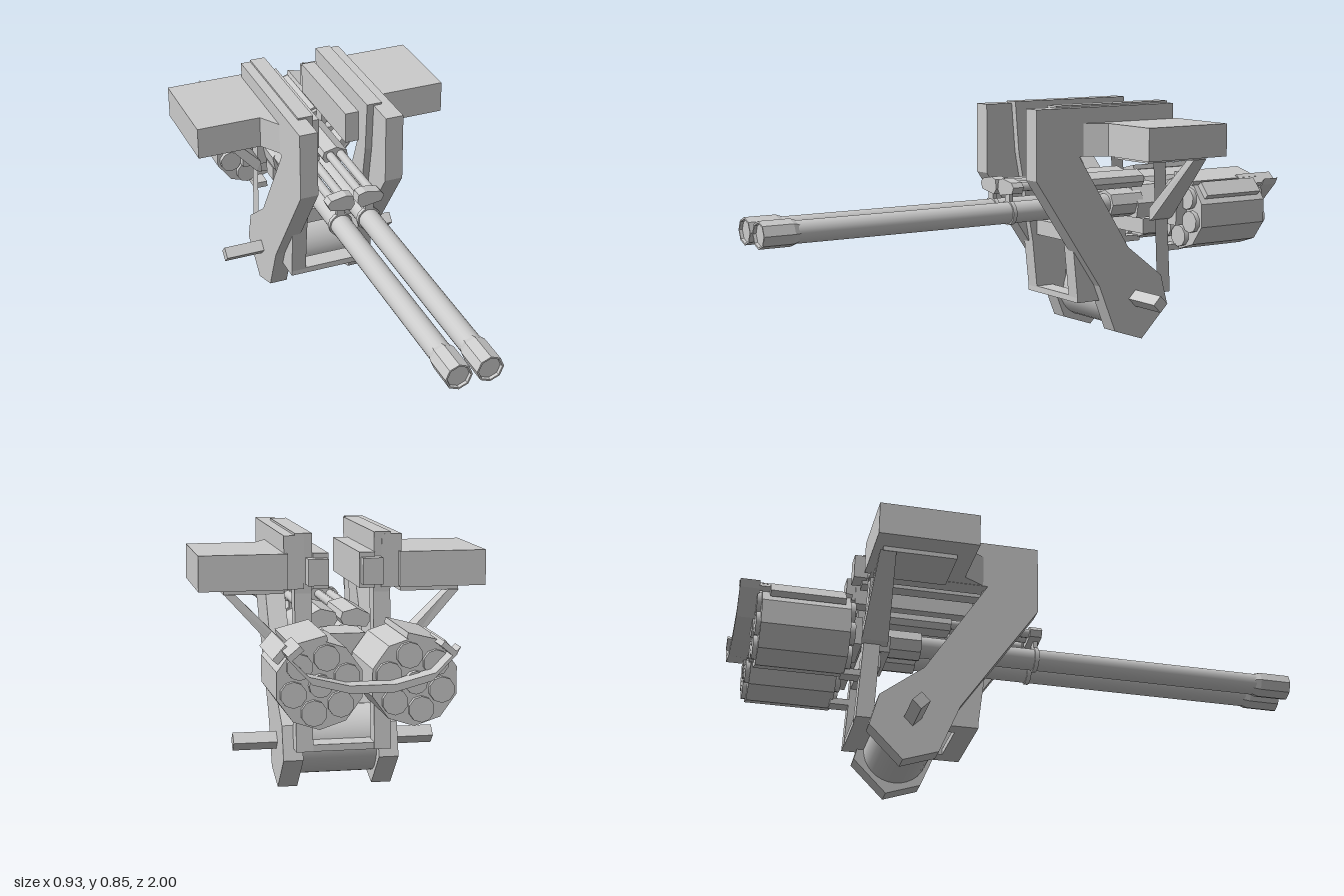
import * as THREE from 'three';

const mat = new THREE.MeshStandardMaterial({ color: 0xcccccc, flatShading: true });
const smooth = new THREE.MeshStandardMaterial({ color: 0xcccccc });

export function createModel() {
  const root = new THREE.Group();

  const add = (name, geo, material = mat) => {
    const mesh = new THREE.Mesh(geo, material);
    mesh.name = name;
    root.add(mesh);
    return mesh;
  };
  const shapeOf = (pts) => new THREE.Shape(pts.map(([a, b]) => new THREE.Vector2(a, b)));
  const extrude = (shape, depth) => new THREE.ExtrudeGeometry(shape, { depth, bevelEnabled: false });

  // Box from its limits
  const box = (name, x0, x1, y0, y1, z0, z1) => add(name,
    new THREE.BoxGeometry(Math.abs(x1 - x0), y1 - y0, z1 - z0)
      .translate((x0 + x1) / 2, (y0 + y1) / 2, (z0 + z1) / 2));
  // Profile in (z, y), given thickness between two x limits
  const sidePlate = (name, pts, x0, x1, hole) => {
    const shape = shapeOf(pts);
    if (hole) shape.holes.push(shapeOf(hole));
    return add(name, extrude(shape, Math.abs(x1 - x0)).rotateY(-Math.PI / 2)
      .translate(Math.max(x0, x1), 0, 0));
  };
  // Profile in (x, y), running between two z limits
  const frontPlate = (name, pts, z0, z1) =>
    add(name, extrude(shapeOf(pts), z1 - z0).translate(0, 0, z0));
  // Cylinder along z
  const rod = (name, x, y, r, z0, z1, sides = 20, material = smooth) => add(name,
    new THREE.CylinderGeometry(r, r, z1 - z0, sides).rotateX(Math.PI / 2)
      .translate(x, y, (z0 + z1) / 2), material);

  // Pivot drum and square axle
  add('pivotDrum', new THREE.CylinderGeometry(0.112, 0.112, 0.25, 32)
    .rotateZ(Math.PI / 2).translate(0, 0.152, -0.4), smooth);
  add('axle', new THREE.CylinderGeometry(0.03, 0.03, 0.67, 4)
    .rotateZ(Math.PI / 2).translate(0, 0.152, -0.4));

  // Cross members of the cradle and the receiver they carry
  box('frontCrossbar', -0.155, 0.155, 0.152, 0.174, -0.24, -0.17);
  box('rearCrossbar', -0.155, 0.155, 0.152, 0.174, -0.582, -0.5);
  box('cradleCrossbar', -0.1, 0.1, 0.365, 0.42, -0.27, -0.17);
  box('rearCradleCrossbar', -0.1, 0.1, 0.365, 0.42, -0.57, -0.5);
  frontPlate('receiver', [[-0.1, 0.425], [0.1, 0.425], [0.11, 0.48], [0.06, 0.54],
    [-0.06, 0.54], [-0.11, 0.48]], -0.62, -0.47);

  for (const s of [1, -1]) {
    const mx = (pts) => pts.map(([x, y]) => [x * s, y]);

    // Bent outer arm
    sidePlate('outerArm', [[0.03, 0.845], [0.03, 0.6], [-0.24, 0.21], [-0.31, 0.04],
      [-0.43, 0], [-0.545, 0.115], [-0.515, 0.225], [-0.365, 0.34], [-0.15, 0.675],
      [-0.56, 0.675], [-0.56, 0.845]], 0.125 * s, 0.19 * s);
    // Inner frame with an open window
    sidePlate('innerFrame', [[-0.075, 0.852], [-0.09, 0.67], [-0.15, 0.35], [-0.172, 0.152],
      [-0.585, 0.152], [-0.555, 0.66], [-0.56, 0.852]], 0.1 * s, 0.155 * s,
    [[-0.16, 0.675], [-0.3, 0.34], [-0.3, 0.174], [-0.525, 0.174], [-0.5, 0.675]]);

    // Overhead box with a chamfered front, plus inner rail and end block
    const plan = mx([[0.18, 0.15], [0.235, 0.24], [0.463, 0.24], [0.463, 0.58], [0.18, 0.58]]);
    add('overheadBox', extrude(shapeOf(plan), 0.114).rotateX(-Math.PI / 2)
      .translate(0, 0.676, 0).applyMatrix4(new THREE.Matrix4()));
    box('innerRail', 0.05 * s, 0.1 * s, 0.676, 0.79, -0.575, -0.15);
    box('railEndBlock', 0.055 * s, 0.12 * s, 0.69, 0.775, -0.607, -0.56);
    box('boxPad', 0.19 * s, 0.38 * s, 0.66, 0.677, -0.55, -0.3);

    // Diagonal brace, tapered at its top
    const brace = frontPlate('diagonalBrace', mx([[0.38, 0.662], [0.345, 0.662],
      [0.15, 0.465], [0.15, 0.42], [0.17, 0.43]]), -0.578, -0.488);
    const p = brace.geometry.attributes.position;
    for (let i = 0; i < p.count; i++) {
      if (p.getY(i) > 0.6) p.setZ(i, -0.533 + (p.getZ(i) + 0.533) * 0.6);
    }
    brace.geometry.computeVertexNormals();

    // Barrel, muzzle and breech
    const bx = 0.053 * s;
    rod('barrel', bx, 0.48, 0.038, -0.4, 0.88);
    add('muzzle', new THREE.LatheGeometry([[0.036, 0.86], [0.046, 0.89], [0.046, 1], [0.04, 1],
      [0.038, 0.99], [0, 0.99]].map(([r, y]) => new THREE.Vector2(r, y)), 8)
      .rotateX(Math.PI / 2).translate(bx, 0.48, 0));
    rod('breech', bx, 0.48, 0.052, -0.5, -0.36, 8, mat);

    // Recoil tubes above the barrel, with their clamp and rear housing
    const hex = mx([[0.005, 0.565], [0.015, 0.546], [0.09, 0.538], [0.103, 0.558],
      [0.1, 0.58], [0.06, 0.6], [0.012, 0.588]]);
    const clamp = mx([[0.005, 0.558], [0.02, 0.538], [0.095, 0.55], [0.105, 0.572],
      [0.092, 0.588], [0.035, 0.598], [0.01, 0.59]]);
    frontPlate('tubeClamp', clamp, 0.025, 0.068);
    frontPlate('recoilHousing', hex, -0.5, -0.258);
    for (const x of [0.035, 0.075]) rod('recoilTube', x * s, 0.57, 0.016, -0.3, 0.04, 10);
    rod('barrelCollar', bx, 0.48, 0.044, 0.045, 0.06, 12);
    box('clampPost', (0.053 - 0.015) * s, (0.053 + 0.015) * s, 0.5, 0.56, 0.045, 0.06);

    // Revolving magazine with its ring of chambers
    const cx = 0.145 * s, cy = 0.44;
    rod('magazineDrum', cx, cy, 0.136, -0.925, -0.63, 10, mat);
    rod('magazineHub', cx, cy, 0.035, -0.945, -0.59, 12);
    for (let i = 0; i < 6; i++) {
      const a = (i * Math.PI) / 3 - 0.3 * s;
      rod('chamber', cx + 0.085 * Math.cos(a), cy + 0.085 * Math.sin(a), 0.04, -0.94, -0.612, 10);
    }

    // Guard plates along the upper outside of the magazine
    const guard = (name, x, y, w, h, tilt, z0, z1) => {
      const m = add(name, new THREE.BoxGeometry(w, h, z1 - z0));
      m.position.set(x * s, y, (z0 + z1) / 2);
      m.rotation.z = tilt * s;
    };
    guard('sideGuard', 0.255, 0.53, 0.06, 0.022, -0.85, -0.9, -0.65);
    guard('topGuard', 0.175, 0.567, 0.11, 0.018, -0.25, -0.925, -0.625);
    guard('guardBracket', 0.23, 0.55, 0.05, 0.018, -0.7, -1, -0.84);
    box('magazineLink', 0.04 * s, 0.19 * s, 0.4, 0.5, -0.64, -0.58);
    box('lowerRail', 0.1 * s, 0.15 * s, 0.303, 0.325, -0.64, -0.57);
  }

  // Bent plate spanning the rear of both magazines
  const upper = [[-0.265, 0.555], [-0.19, 0.48], [-0.07, 0.45], [0.07, 0.45], [0.19, 0.48], [0.265, 0.555]];
  const lower = upper.map(([x, y]) => [x * 0.95, y - 0.024]).reverse();
  frontPlate('rearGuide', [...upper, ...lower], -1, -0.935);

  return root;
}
